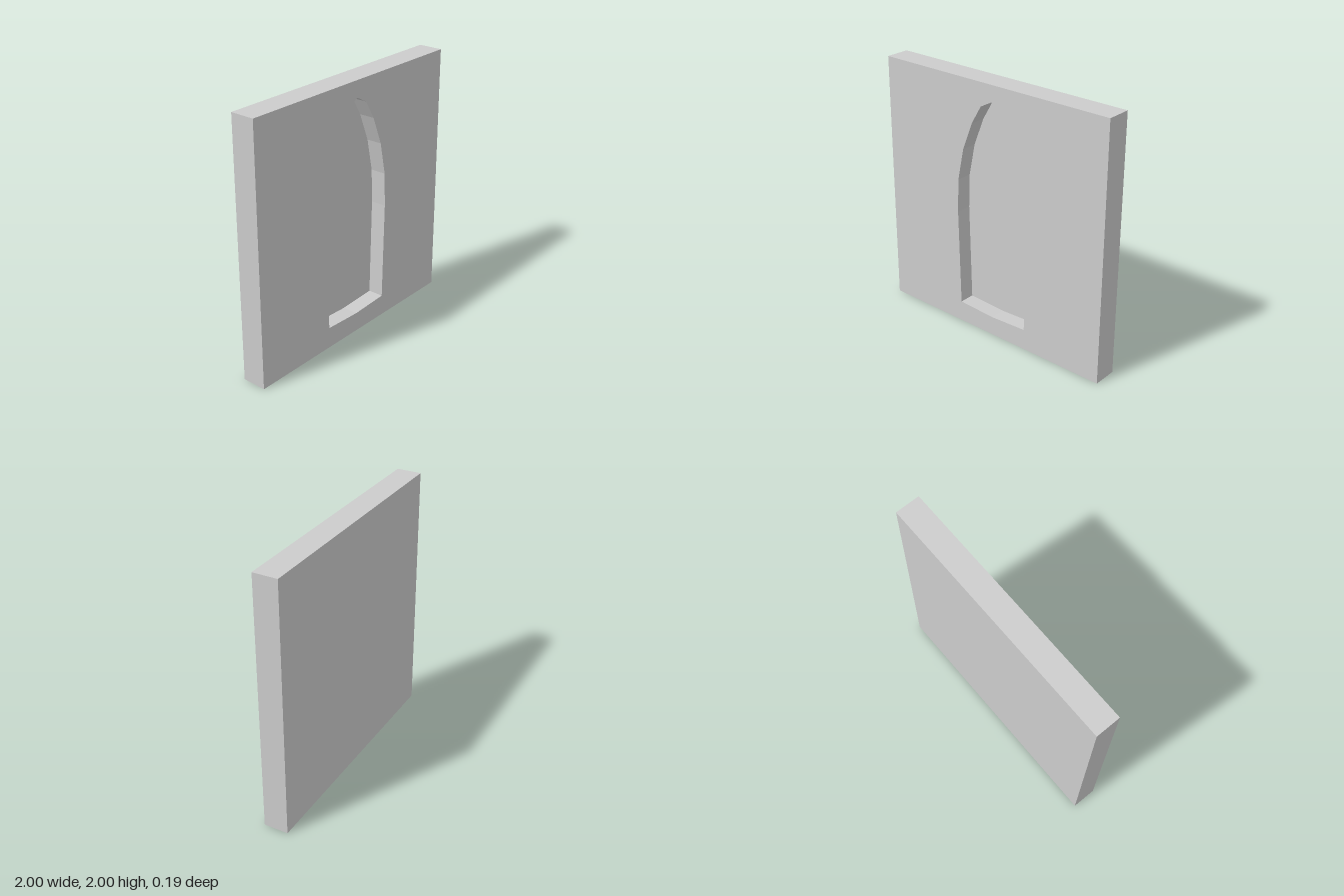
import * as THREE from 'three';

const SIZE = 2;
const FRONT = 0.095, BACK = -0.095, RECESS_FLOOR = -0.028;
const NICHE_X = 0.012; // the niche sits a touch off centre

// Half outline of the pointed niche, from the sill up to just below the apex
const halfArch = [
  [0.313, 0.167], [0.332, 0.935], [0.323, 1.2], [0.27, 1.455], [0.183, 1.675], [0.097, 1.82],
];

function nicheOutline() {
  const right = halfArch.map(([x, y]) => new THREE.Vector2(NICHE_X + x, y));
  const left = halfArch.map(([x, y]) => new THREE.Vector2(NICHE_X - x, y)).reverse();
  const sill = new THREE.Vector2(NICHE_X, 0.152);
  const apex = new THREE.Vector2(NICHE_X, 1.873);
  return [sill, ...right, apex, ...left];
}

export function createModel() {
  const group = new THREE.Group();
  group.name = 'wallPanel';
  const material = new THREE.MeshStandardMaterial({ color: 0xcccccc, flatShading: true });

  // Front layer of the wall, cut through by the arched niche
  const h = SIZE / 2;
  const face = new THREE.Shape([
    new THREE.Vector2(-h, 0), new THREE.Vector2(h, 0),
    new THREE.Vector2(h, SIZE), new THREE.Vector2(-h, SIZE),
  ]);
  face.holes.push(new THREE.Path(nicheOutline()));
  const frontGeometry = new THREE.ExtrudeGeometry(face, {
    depth: FRONT - RECESS_FLOOR, bevelEnabled: false,
  });
  frontGeometry.translate(0, 0, RECESS_FLOOR);
  const frontLayer = new THREE.Mesh(frontGeometry, material);
  frontLayer.name = 'wallWithNiche';
  group.add(frontLayer);

  // Solid back layer, which closes the niche
  const backLayer = new THREE.Mesh(
    new THREE.BoxGeometry(SIZE, SIZE, RECESS_FLOOR - BACK), material);
  backLayer.position.set(0, h, (RECESS_FLOOR + BACK) / 2);
  backLayer.name = 'wallBack';
  group.add(backLayer);

  return group;
}
